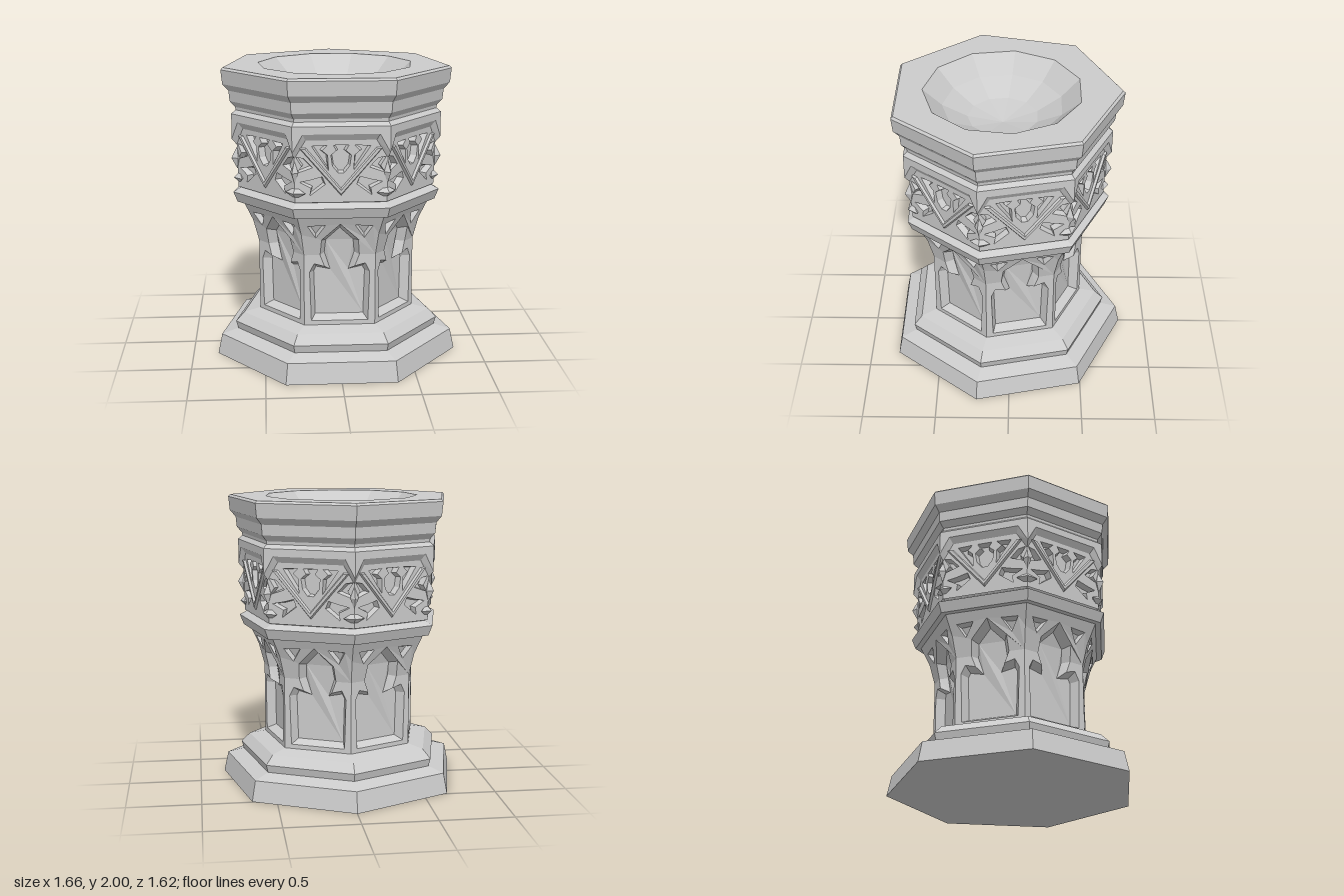
import * as THREE from 'three';

const SIDES = 7, HALF = Math.PI / SIDES;
const COS = Math.cos(HALF), SIN = Math.sin(HALF);

export function createModel() {
  const root = new THREE.Group();
  root.name = 'carvedFont';
  const body = new THREE.Group();
  body.name = 'heptagonalBody';
  body.position.z = 0.037;
  root.add(body);
  const mat = new THREE.MeshStandardMaterial({ color: 0xcccccc, flatShading: true });

  const add = (name, geo, parent = body) => {
    const m = new THREE.Mesh(geo, mat);
    m.name = name;
    parent.add(m);
    return m;
  };
  const ring = (name, pts, n = SIDES, start = Math.PI) =>
    add(name, new THREE.LatheGeometry(pts.map(p => new THREE.Vector2(...p)), n, start), body);
  const mirrorX = pts => pts.map(([x, y]) => [-x, y]).reverse();
  const symmetric = right => [...right, ...mirrorX(right)];

  // Mouldings: base, collar and crown
  ring('base', [[0, 0], [0.85, 0], [0.82, 0.14], [0.705, 0.172], [0.72, 0.225],
    [0.66, 0.285], [0.545, 0.31]]);
  ring('collar', [[0.64, 1.085], [0.69, 1.085], [0.718, 1.155], [0.662, 1.185], [0.68, 1.21]]);
  ring('crown', [[0.72, 1.69], [0.69, 1.715], [0.692, 1.735], [0.728, 1.775], [0.735, 1.845],
    [0.775, 1.89], [0.785, 1.985], [0.77, 2]]);

  // Flat rim around an eleven-sided basin
  const polygon = (r, n, start, cy) => Array.from({ length: n }, (_, i) => {
    const a = start + i * 2 * Math.PI / n;
    return new THREE.Vector2(r * Math.sin(a), cy - r * Math.cos(a));
  });
  const rimShape = new THREE.Shape(polygon(0.77, SIDES, Math.PI, 0));
  rimShape.holes.push(new THREE.Path(polygon(0.525, 11, 0, -0.01)));
  const rim = add('rim', new THREE.ShapeGeometry(rimShape));
  rim.rotation.x = -Math.PI / 2;
  rim.position.y = 2;
  ring('basin', [[0.525, 2], [0.4, 1.885], [0.235, 1.8], [0, 1.755]], 11, 0).position.z = 0.01;

  // Carver: draws on one side of the heptagon, in (x, y, depth) below its surface
  function carver(profile) {
    const tri = [];
    const R = y => {
      let i = 1;
      while (i < profile.length - 1 && y > profile[i][0]) i++;
      const [y0, r0] = profile[i - 1], [y1, r1] = profile[i];
      return r0 + (r1 - r0) * THREE.MathUtils.clamp((y - y0) / (y1 - y0), 0, 1);
    };
    const push = ([x, y], d) => tri.push(x * R(y) / profile[0][1], y, R(y) * COS - d);
    const cross = (a, b, c) => (b[0] - a[0]) * (c[1] - a[1]) - (b[1] - a[1]) * (c[0] - a[0]);

    const fill = (contour, d = 0, holes = []) => {
      const v = c => c.map(p => new THREE.Vector2(...p));
      const all = [contour, ...holes].flat();
      for (const f of THREE.ShapeUtils.triangulateShape(v(contour), holes.map(v))) {
        const t = f.map(i => all[i]);
        if (cross(...t) < 0) t.reverse();
        t.forEach(p => push(p, d));
      }
    };
    const strip = (a, b, da, db, closed = true) => {
      for (let i = 0; i < a.length - (closed ? 0 : 1); i++) {
        const j = (i + 1) % a.length;
        push(a[i], da); push(a[j], da); push(b[j], db);
        push(a[i], da); push(b[j], db); push(b[i], db);
      }
    };
    const inset = (pts, w) => pts.map((p, i) => {
      const a = pts[(i + pts.length - 1) % pts.length], b = pts[(i + 1) % pts.length];
      const normal = (s, e) => new THREE.Vector2(s[1] - e[1], e[0] - s[0]).normalize();
      const n = normal(a, p), m = n.clone().add(normal(p, b)).normalize();
      m.multiplyScalar(w / Math.max(0.55, m.dot(n)));
      return [p[0] + m.x, p[1] + m.y];
    });
    // Sloped edge plus floor (depth > 0) or raised top (depth < 0)
    const relief = (pts, w, depth) => {
      const c = pts.map(p => new THREE.Vector2(...p));
      const o = THREE.ShapeUtils.isClockWise(c) ? [...pts].reverse() : pts;
      const inner = inset(o, w);
      strip(o, inner, 0, depth);
      fill(inner, depth);
    };
    const build = () => {
      const g = new THREE.BufferGeometry();
      g.setAttribute('position', new THREE.Float32BufferAttribute(tri, 3));
      g.computeVertexNormals();
      return g;
    };
    return { E: profile[0][1] * SIN, fill, strip, relief, build };
  }

  // Shaft side: cusped arch niche and two spandrel piercings, flaring at the top
  const shaft = carver([[0.31, 0.545], [0.8, 0.545], [0.95, 0.585], [1.085, 0.65]]);
  {
    const { E } = shaft;
    const lowRight = [[0.19, 0.34], [0.2, 0.68], [0.17, 0.74], [0.1, 0.72], [0.13, 0.8]];
    const topRight = [[0.13, 0.8], [0.115, 0.91], [0, 1.03]];
    const arch = [...lowRight, ...topRight.slice(1), [-0.115, 0.91], ...mirrorX(lowRight)];
    const spandrel = [[0.19, 1.015], [0.085, 1.02], [0.15, 0.925]];
    const spandrels = [spandrel, mirrorX(spandrel)];
    shaft.fill([[-E, 0.31], [E, 0.31], [E, 0.8], ...[...lowRight].reverse(),
      ...[...mirrorX(lowRight)].reverse(), [-E, 0.8]]);
    shaft.fill([[E, 0.8], [E, 0.95], [E, 1.085], [-E, 1.085], [-E, 0.95], [-E, 0.8],
      [-0.13, 0.8], [-0.115, 0.91], [0, 1.03], [0.115, 0.91], [0.13, 0.8]], 0, spandrels);
    shaft.relief(arch, 0.03, 0.06);
    spandrels.forEach(s => shaft.relief(s, 0.012, 0.04));
  }

  // Frieze side: pierced tracery and a raised chevron
  const frieze = carver([[1.19, 0.68], [1.65, 0.69]]);
  {
    const { E } = frieze;
    const bulb = symmetric([[0.02, 1.385], [0.055, 1.43], [0.065, 1.5], [0.03, 1.53], [0.05, 1.565]]);
    const right = [
      [[0.08, 1.4], [0.187, 1.56], [0.085, 1.565], [0.12, 1.53], [0.085, 1.5]],
      [[0.18, 1.42], [0.28, 1.385], [0.25, 1.43], [0.285, 1.49], [0.235, 1.48]],
      [[0.12, 1.36], [0.1, 1.31], [0.2, 1.235], [0.19, 1.285], [0.265, 1.325], [0.19, 1.34]],
    ];
    const holes = [bulb, ...right, ...right.map(mirrorX)];
    frieze.fill([[-E, 1.19], [E, 1.19], [E, 1.65], [-E, 1.65]], 0, holes);
    holes.forEach(h => frieze.relief(h, 0.009, 0.045));
    frieze.relief([[-0.265, 1.55], [0, 1.235], [0.265, 1.55], [0.222, 1.55], [0, 1.285],
      [-0.222, 1.55]], 0.008, -0.016);
  }

  // Lintel side: projecting band with splayed soffit running down to the corners
  const lintel = carver([[1.5, 0.72], [1.69, 0.72]]);
  {
    const { E } = lintel;
    lintel.fill([[-E, 1.52], [-0.245, 1.64], [0.245, 1.64], [E, 1.52], [E, 1.69], [-E, 1.69]]);
    lintel.strip([[E, 1.52], [0.245, 1.64], [-0.245, 1.64], [-E, 1.52]],
      [[0.298, 1.48], [0.225, 1.595], [-0.225, 1.595], [-0.298, 1.48]], 0, 0.03, false);
  }

  // Repeat the carved side and its corner leaves around the font
  const parts = { archPanel: shaft.build(), traceryPanel: frieze.build(), lintel: lintel.build() };
  const leaf = new THREE.OctahedronGeometry(1);
  for (let i = 0; i < SIDES; i++) {
    const side = new THREE.Group();
    side.name = 'side' + (i + 1);
    side.rotation.y = i * 2 * HALF;
    body.add(side);
    for (const [name, geo] of Object.entries(parts)) add(name, geo, side);
    const corner = new THREE.Group();
    corner.name = 'cornerLeaves';
    corner.rotation.y = HALF;
    side.add(corner);
    for (const [y, w, h, r] of [[1.255, 0.07, 0.04, 0.67], [1.39, 0.028, 0.075, 0.685]]) {
      const m = add('leaf', leaf, corner);
      m.scale.set(w, h, 0.04);
      m.position.set(0, y, r);
    }
  }
  return root;
}
